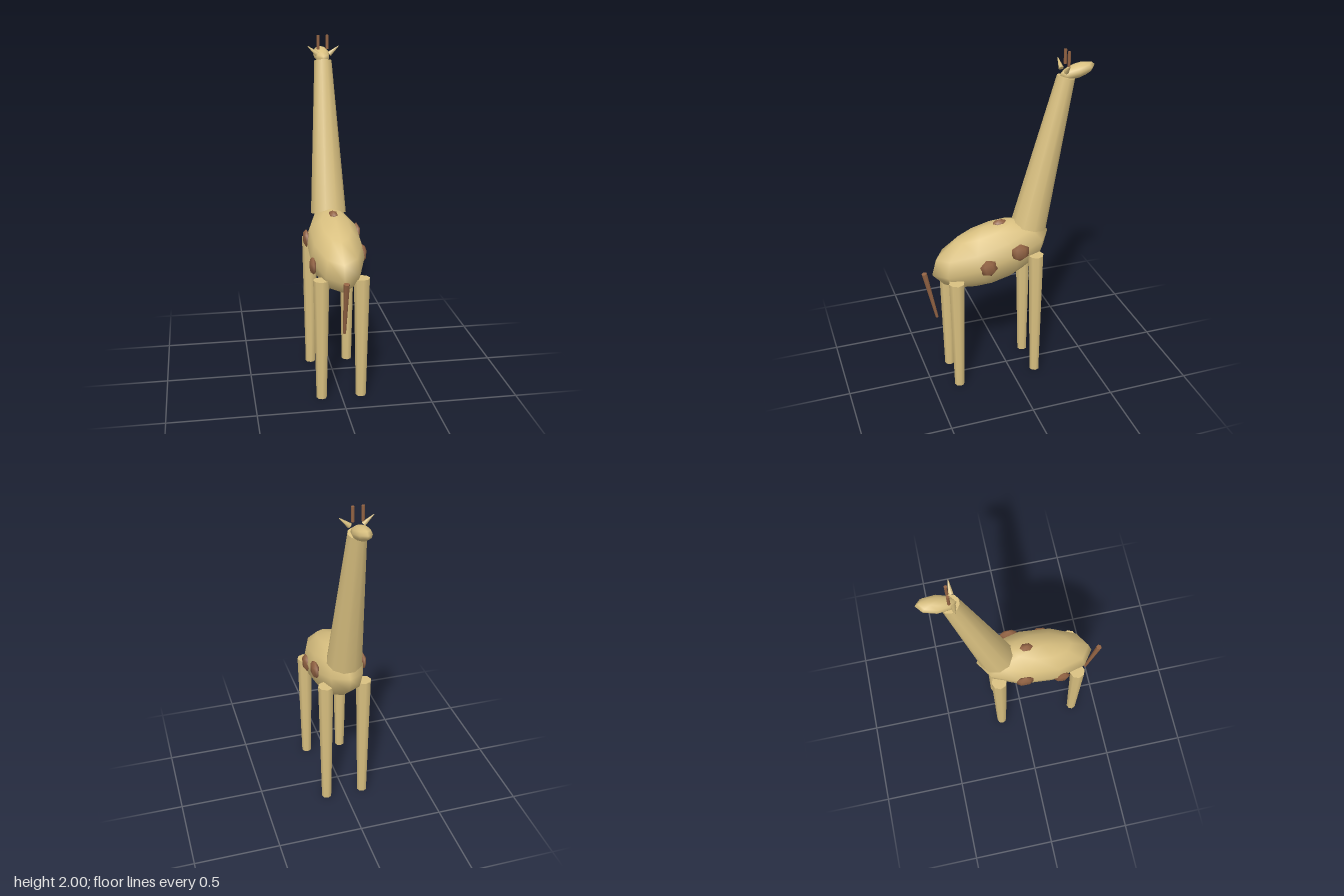
import * as THREE from 'three';

const tan = new THREE.MeshStandardMaterial({ color: 0xd9c080 });
tan.name = 'tan hide';
const brown = new THREE.MeshStandardMaterial({ color: 0x946444 });
brown.name = 'brown patches';

export function createModel() {
  const model = new THREE.Group();
  model.name = 'giraffe';
  // Parts are laid out with the head towards +x, then turned to face -z.
  const animal = new THREE.Group();
  animal.name = 'animal';
  animal.rotation.y = Math.PI / 2;
  model.add(animal);

  function add(name, geometry, material) {
    const mesh = new THREE.Mesh(geometry, material);
    mesh.name = name;
    animal.add(mesh);
    return mesh;
  }

  function ellipsoid(name, material, centre, radii, tilt, segments, rings) {
    const mesh = add(name, new THREE.SphereGeometry(1, segments, rings), material);
    mesh.position.set(...centre);
    mesh.scale.set(...radii);
    mesh.rotation.z = tilt;
    return mesh;
  }

  // Tapered cylinder running from one point to another
  function limb(name, material, from, to, r0, r1, sides) {
    const a = new THREE.Vector3(...from), b = new THREE.Vector3(...to);
    const dir = b.clone().sub(a);
    const mesh = add(name, new THREE.CylinderGeometry(r1, r0, dir.length(), sides), material);
    mesh.position.copy(a).add(b).multiplyScalar(0.5);
    mesh.quaternion.setFromUnitVectors(new THREE.Vector3(0, 1, 0), dir.normalize());
    return mesh;
  }

  // Body, neck and head
  ellipsoid('body', tan, [-0.097, 0.822, 0], [0.37, 0.18, 0.163], 0.25, 10, 6);
  limb('neck', tan, [0.14, 0.968, 0], [0.35, 1.852, 0], 0.106, 0.052, 10);
  ellipsoid('head', tan, [0.415, 1.88, 0], [0.107, 0.039, 0.049], 0.25, 8, 6);

  for (const s of [1, -1]) {
    const side = s > 0 ? 'left' : 'right';
    // Horns and ears
    limb(side + 'Horn', brown, [0.354, 1.917, s * 0.027], [0.354, 2, s * 0.027], 0.009, 0.009, 6);
    limb(side + 'Ear', tan, [0.335, 1.89, s * 0.036], [0.335, 1.937, s * 0.092], 0.015, 0.002, 6);
    // Legs
    limb(side + 'FrontLeg', tan, [0.148, 0, s * 0.115], [0.148, 0.82, s * 0.115], 0.03, 0.046, 8);
    limb(side + 'RearLeg', tan, [-0.34, 0, s * 0.115], [-0.34, 0.72, s * 0.115], 0.03, 0.046, 8);
  }

  // Tail
  limb('tail', brown, [-0.437, 0.436, 0], [-0.503, 0.75, 0], 0.009, 0.017, 6);

  // Spots: centre, radii and tilt
  const spots = [
    [[-0.155, 0.805, 0.152], [0.055, 0.055, 0.024], 0.3],
    [[0.037, 0.873, 0.15], [0.06, 0.056, 0.024], 0],
    [[-0.003, 0.86, -0.155], [0.057, 0.055, 0.02], 0],
    [[-0.235, 0.77, -0.147], [0.053, 0.055, 0.021], 0.3],
    [[-0.04, 1.003, 0], [0.046, 0.026, 0.028], 0.1],
  ];
  spots.forEach(([centre, radii, tilt], i) =>
    ellipsoid('spot' + (i + 1), brown, centre, radii, tilt, 6, 3));

  return model;
}
